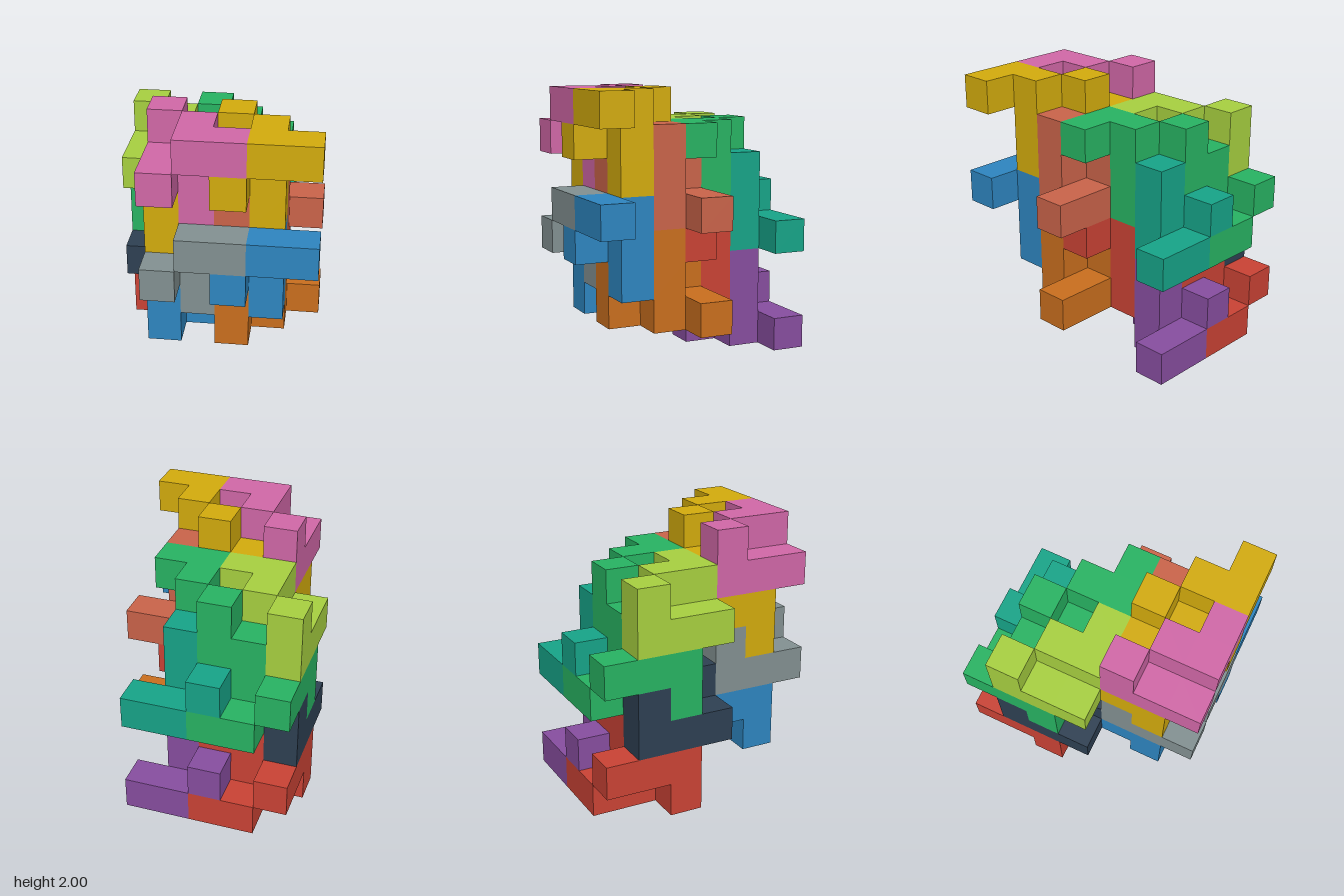
import * as THREE from 'three';
import { mergeGeometries } from 'three/addons/utils/BufferGeometryUtils.js';

const CELL = 0.25;

// Two interlocked hooks, as cell offsets from the centre of the upright hook
const HOOKS = [
  [0, -1, 0], [0, 0, 0], [0, 1, 0], [0, 1, 1], [1, 1, 1],
  [-1, 0, 1], [-1, 0, 0], [-1, 0, -1], [-1, 1, -1],
];

// flip = 1 keeps the hooks as they are, -1 turns them half way round the x axis
const hooks = (flip, x, y, z) =>
  HOOKS.map(([a, b, c]) => [x + a, y + flip * b, z + flip * c]);

// One layer of the stack: cells of each piece and its colour in both layers
const PIECES = [
  { name: 'frontRightPiece', cells: hooks(1, 2, 3, 5), colors: [0x839192, 0xd268a8] },
  { name: 'frontLeftPiece', cells: [...hooks(1, 4, 3, 5), ...hooks(-1, 2, 2, 4)], colors: [0x2e86c1, 0xd4ac0d] },
  { name: 'middleLeftPiece', cells: hooks(-1, 4, 2, 4), colors: [0xca6f1e, 0xcb644a] },
  { name: 'middleRightPiece', cells: hooks(1, 1, 2, 2), colors: [0x2e4053, 0xa8d140] },
  { name: 'backRightPiece', cells: [...hooks(1, 3, 2, 2), ...hooks(-1, 1, 1, 1)], colors: [0xcb4335, 0x28b463] },
  { name: 'backLeftPiece', cells: hooks(-1, 3, 1, 1), colors: [0x884ea0, 0x17a589] },
];

// Outward directions, each with the rotation that points a plane that way
const SIDES = [
  [[0, 0, 1], 0, 0], [[0, 0, -1], 0, Math.PI],
  [[1, 0, 0], 0, Math.PI / 2], [[-1, 0, 0], 0, -Math.PI / 2],
  [[0, 1, 0], -Math.PI / 2, 0], [[0, -1, 0], Math.PI / 2, 0],
];

// Skin of a group of cells: a square wherever the piece has no neighbouring cell
function cellSkin(cells) {
  const filled = new Set(cells.map(String));
  const squares = [];
  for (const [x, y, z] of cells) {
    for (const [d, rx, ry] of SIDES) {
      if (filled.has(String([x + d[0], y + d[1], z + d[2]]))) continue;
      const square = new THREE.PlaneGeometry(CELL, CELL).rotateX(rx).rotateY(ry);
      square.translate(
        (x - 2.5 + d[0] / 2) * CELL,
        (y + 0.5 + d[1] / 2) * CELL,
        (z - 3 + d[2] / 2) * CELL,
      );
      squares.push(square);
    }
  }
  return mergeGeometries(squares);
}

export function createModel() {
  const model = new THREE.Group();
  model.name = 'interlockingBlocks';

  // Two identical layers, the upper one raised by three cells
  ['lowerLayer', 'upperLayer'].forEach((layerName, level) => {
    const layer = new THREE.Group();
    layer.name = layerName;
    layer.position.y = level * 3 * CELL;
    for (const { name, cells, colors } of PIECES) {
      const material = new THREE.MeshStandardMaterial({ color: colors[level] });
      const piece = new THREE.Mesh(cellSkin(cells), material);
      piece.name = name;
      layer.add(piece);
    }
    model.add(layer);
  });
  return model;
}
